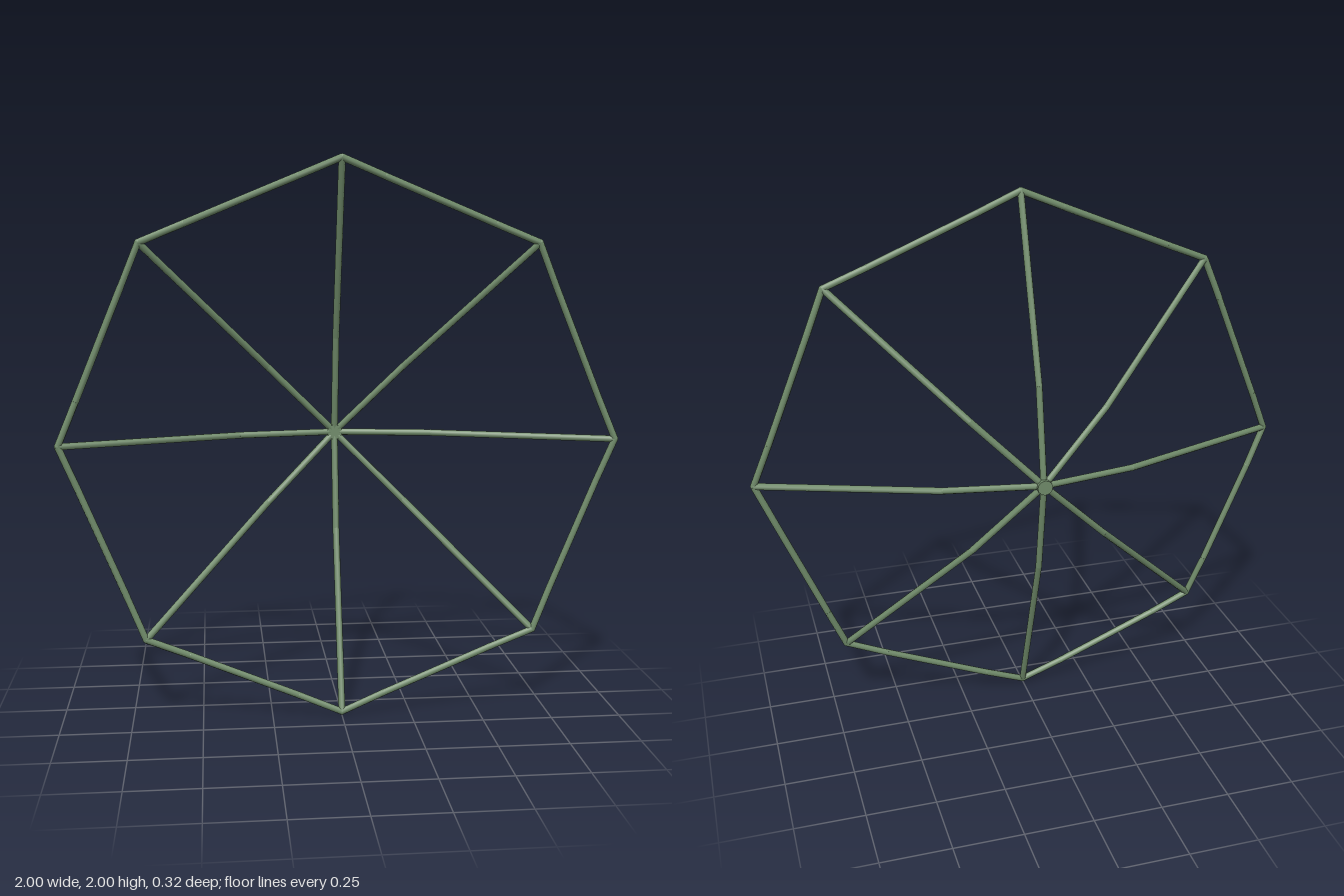
import * as THREE from 'three';

const RADIUS = 0.0125;
const material = new THREE.MeshStandardMaterial({ color: 0x6f8a69 });

// Round bar following a bent path, with ball joints at the bends
function bentBar(name, points) {
  const bar = new THREE.Group();
  bar.name = name;
  for (let i = 0; i < points.length - 1; i++) {
    const a = points[i], b = points[i + 1];
    const dir = b.clone().sub(a);
    const rod = new THREE.Mesh(new THREE.CylinderGeometry(RADIUS, RADIUS, dir.length(), 8), material);
    rod.name = name + 'Rod';
    rod.position.copy(a).add(b).multiplyScalar(0.5);
    rod.quaternion.setFromUnitVectors(new THREE.Vector3(0, 1, 0), dir.normalize());
    bar.add(rod);
    const joint = new THREE.Mesh(new THREE.SphereGeometry(RADIUS, 8, 6), material);
    joint.name = name + 'Joint';
    joint.position.copy(b);
    bar.add(joint);
  }
  return bar;
}

export function createModel() {
  const model = new THREE.Group();
  model.name = 'umbrellaFrame';
  const COUNT = 8;
  const polar = (i, r, z) => {
    const a = (i * Math.PI * 2) / COUNT;
    return new THREE.Vector3(Math.cos(a) * r, 1 + Math.sin(a) * r, z);
  };

  for (let i = 0; i < COUNT; i++) {
    // Rib: hub, elbow, tip
    const tip = polar(i, 0.987, 0.147);
    model.add(bentBar('rib', [polar(i, 0, -0.14), polar(i, 0.355, -0.078), tip]));

    // Rim span, dipping slightly back between the rib tips
    const next = polar(i + 1, 0.987, 0.147);
    const inner = [0.22, 0.78].map((t) => tip.clone().lerp(next, t).setZ(0.138));
    model.add(bentBar('rim', [tip, ...inner, next]));
  }

  // Central hub
  const hub = new THREE.Mesh(new THREE.CylinderGeometry(0.028, 0.028, 0.034, 12), material);
  hub.name = 'hub';
  hub.rotation.x = Math.PI / 2;
  hub.position.set(0, 1, -0.142);
  model.add(hub);

  return model;
}
